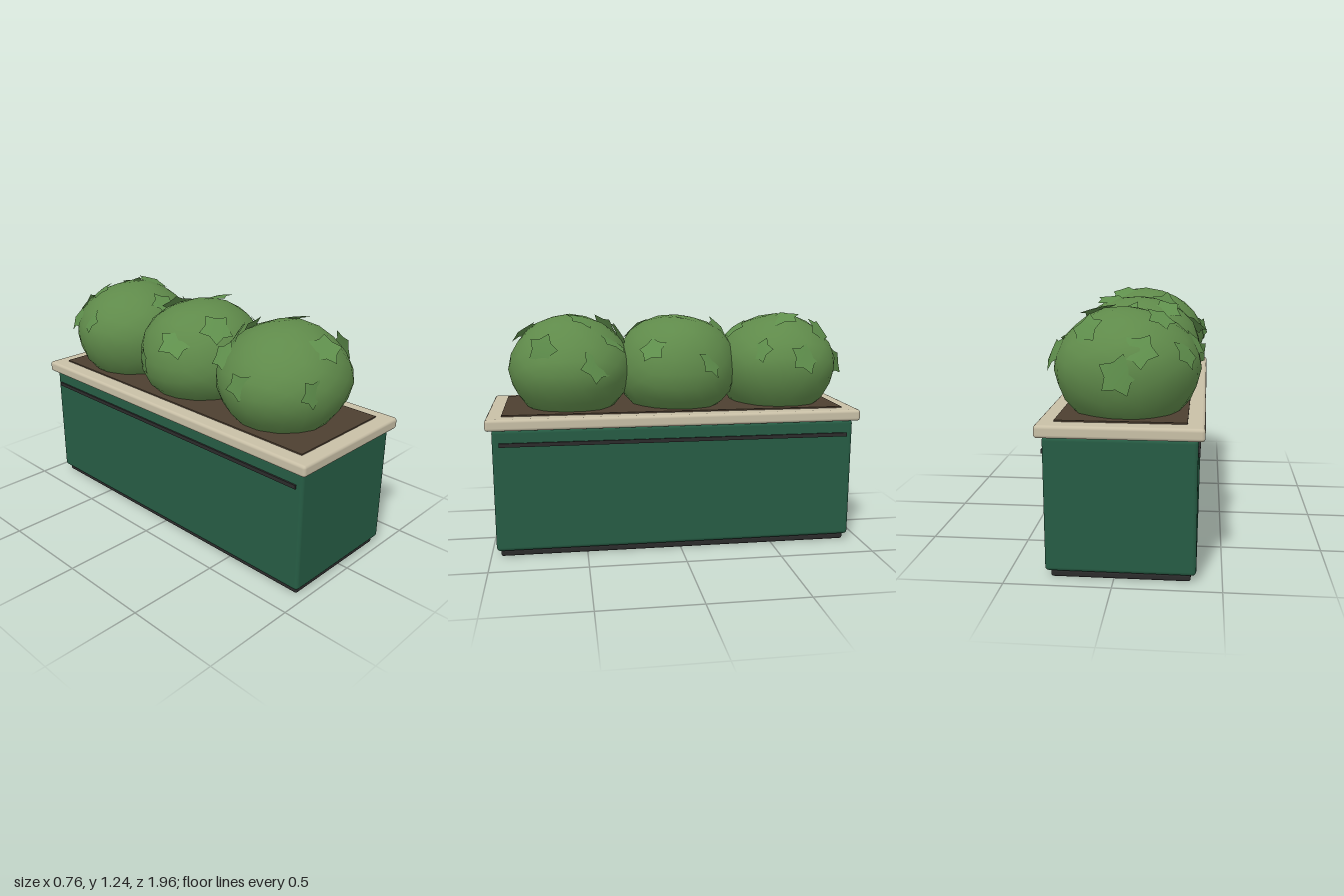
import * as THREE from 'three';
import { RoundedBoxGeometry } from 'three/addons/geometries/RoundedBoxGeometry.js';
import { mergeVertices } from 'three/addons/utils/BufferGeometryUtils.js';

const CX = -0.03, CZ = 0.02; // planter centre; the leaves make the outline uneven

const paint = (color, extra = {}) => new THREE.MeshStandardMaterial({ color, ...extra });

function seeded(seed) {
  return () => {
    seed = (seed * 16807) % 2147483647;
    return seed / 2147483647;
  };
}

// Slightly lumpy, low-sided bush with smooth normals
function bushGeometry(radii, phase) {
  let geo = new THREE.IcosahedronGeometry(1, 3);
  geo.deleteAttribute('uv');
  geo.deleteAttribute('normal');
  geo = mergeVertices(geo, 1e-3);
  const pos = geo.attributes.position, v = new THREE.Vector3();
  for (let i = 0; i < pos.count; i++) {
    v.fromBufferAttribute(pos, i);
    const lump = 1 + 0.018 * Math.sin(5 * v.x + phase) * Math.cos(4 * v.z - phase) + 0.012 * Math.sin(6 * v.y + 2 * phase);
    v.multiplyScalar(lump).multiply(radii);
    pos.setXYZ(i, v.x, v.y, v.z);
  }
  geo.computeVertexNormals();
  return geo;
}

// Five-lobed leaf, cupped a little so it follows the bush
function leafGeometry() {
  const shape = new THREE.Shape();
  for (let i = 0; i < 10; i++) {
    const a = (i / 10) * Math.PI * 2;
    const r = i % 2 ? 0.058 : 0.09;
    if (i) shape.lineTo(r * Math.cos(a), r * Math.sin(a));
    else shape.moveTo(r, 0);
  }
  const geo = new THREE.ShapeGeometry(shape);
  const pos = geo.attributes.position;
  for (let i = 0; i < pos.count; i++) {
    const x = pos.getX(i), y = pos.getY(i);
    pos.setZ(i, -1.3 * x * x - 0.6 * y * y);
  }
  geo.computeVertexNormals();
  return geo;
}

export function createModel() {
  const model = new THREE.Group();
  model.name = 'planter';

  const add = (name, geometry, material, x, y, z, parent = model) => {
    const mesh = new THREE.Mesh(geometry, material);
    mesh.name = name;
    mesh.position.set(x, y, z);
    parent.add(mesh);
    return mesh;
  };
  const dark = paint(0x2b2b2b);

  // Box, plinth, rim and soil
  add('plinth', new RoundedBoxGeometry(0.65, 0.035, 1.86, 2, 0.012), dark, CX, 0.0175, CZ);
  add('planterBox', new RoundedBoxGeometry(0.7, 0.645, 1.9, 2, 0.02), paint(0x265c44), CX, 0.3575, CZ);
  add('rim', new RoundedBoxGeometry(0.76, 0.06, 1.96, 2, 0.016), paint(0xc8bfa6), CX, 0.708, CZ);
  add('soil', new THREE.BoxGeometry(0.6, 0.03, 1.8), paint(0x4d3f30), CX, 0.73, CZ);

  // Trim strip along each long side
  for (const side of [-1, 1]) {
    add('trimStrip', new THREE.BoxGeometry(0.012, 0.02, 1.83), dark, CX + side * 0.353, 0.602, CZ);
  }

  // Bushes; each leaf is an offset from the bush centre, pushed onto its surface
  const bushes = [
    { z: -0.59, leaves: [[-0.09, 0.13, -0.31], [-0.17, 0.25, -0.1], [0.13, 0.26, 0], [0.16, 0.2, -0.19], [0.36, 0.08, -0.07],
      [0.3, 0.12, 0.17], [0.01, 0.2, 0.24], [-0.33, 0.12, 0], [-0.3, 0.1, -0.18], [0, 0.02, -0.33]] },
    { z: -0.02, leaves: [[-0.17, 0.24, -0.13], [0.13, 0.27, -0.03], [-0.3, 0.14, 0.1], [-0.12, 0.2, 0.22], [0.3, 0.14, 0.18],
      [0.03, 0.22, -0.24], [0.35, 0.06, -0.15], [-0.34, 0, -0.1]] },
    { z: 0.56, leaves: [[-0.15, 0.22, -0.22], [0.03, 0.2, -0.29], [0.22, 0.18, -0.25], [0.13, 0.27, -0.06], [0.35, 0.05, -0.13],
      [-0.35, 0.05, 0.02], [0.29, 0.14, 0.15], [0, 0.2, 0.23], [-0.3, 0.16, -0.22], [-0.16, 0.04, 0.3]] },
  ];
  const radii = new THREE.Vector3(0.35, 0.29, 0.335);
  const foliage = paint(0x5f8a4a);
  const leafMaterial = paint(0x5f8f4c, { side: THREE.DoubleSide });
  const leaf = leafGeometry();
  const random = seeded(71);
  const forward = new THREE.Vector3(0, 0, 1);

  bushes.forEach((bush, i) => {
    const group = new THREE.Group();
    group.name = 'bush';
    group.position.set(CX, 0.94, bush.z);
    model.add(group);
    add('foliage', bushGeometry(radii, i * 1.9), foliage, 0, 0, 0, group);

    for (const offset of bush.leaves) {
      const unit = new THREE.Vector3(...offset).divide(radii).normalize();
      const p = unit.clone().multiply(radii).multiplyScalar(1.025);
      const mesh = add('leaf', leaf, leafMaterial, p.x, p.y, p.z, group);
      mesh.quaternion.setFromUnitVectors(forward, unit.divide(radii).normalize());
      mesh.rotateZ(random() * Math.PI * 2);
      mesh.rotateX((random() - 0.5) * 0.8);
      mesh.rotateY((random() - 0.5) * 0.8);
      mesh.scale.setScalar(0.8 + random() * 0.3);
    }
  });
  return model;
}
